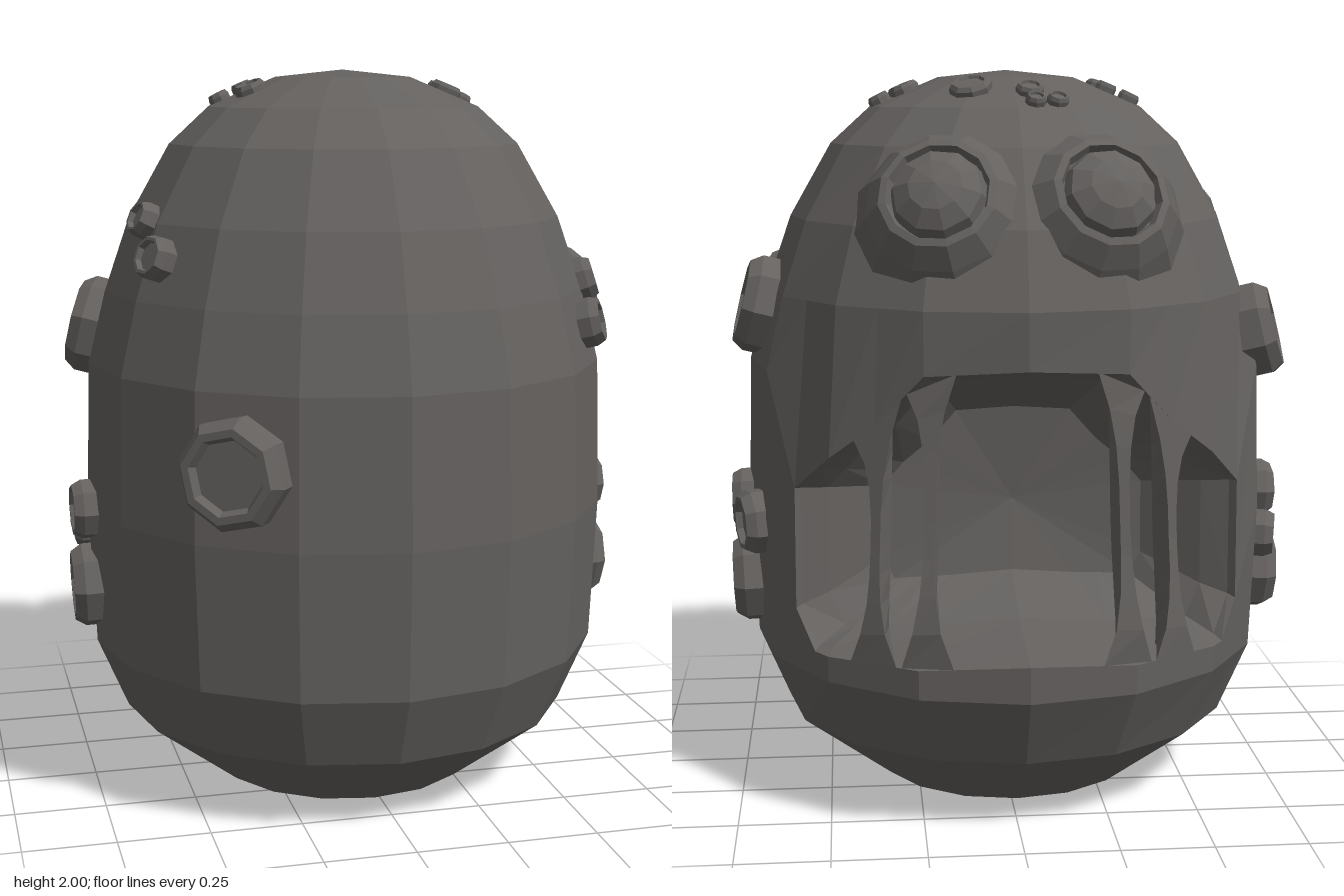
import * as THREE from 'three';

const DEG = Math.PI / 180, STEP = 22.5;
const PROFILE = [[0, 0.375], [0.2, 0.635], [0.4, 0.72], [0.8, 0.737], [1.2, 0.725], [1.4, 0.675],
  [1.6, 0.605], [1.8, 0.49], [1.9, 0.38], [1.98, 0.19], [2, 0]];
const BACK_SHIFT = [[0.2, 0], [0.4, 0.03], [0.55, 0.03], [0.8, -0.05], [1.2, -0.07], [1.38, 0.02], [1.6, 0.03], [1.8, 0]];
const LIP_TOP = [[0, 1.25], [22, 1.24], [34, 1.1], [57, 0.9], [67.5, 1.2]];
const LIP_BOTTOM = [[0, 0.5], [22, 0.48], [50, 0.47], [57, 0.57], [67.5, 0.8]];

// Linear lookup in a table of [key, value] pairs
function lookup(table, key) {
  if (key <= table[0][0]) return table[0][1];
  for (let i = 1; i < table.length; i++) {
    const [a, va] = table[i - 1], [b, vb] = table[i];
    if (key <= b) return va + (vb - va) * (key - a) / (b - a);
  }
  return table[table.length - 1][1];
}

const radius = (y) => lookup(PROFILE, y);
const lipTop = (t) => lookup(LIP_TOP, Math.abs(t));
const lipBottom = (t) => lookup(LIP_BOTTOM, Math.abs(t));

// Corner of the sixteen-sided body; the angle runs from the mouth side
function corner(k, y) {
  const t = k * STEP * DEG;
  const wrapped = Math.atan2(Math.sin(t), Math.cos(t));
  const f = Math.abs(wrapped) < Math.PI / 3 ? Math.cos(1.5 * wrapped) : 0;
  const r = radius(y) * (1 + f * lookup(BACK_SHIFT, y));
  return new THREE.Vector3(-Math.sin(t) * r, y, -Math.cos(t) * r);
}

// Any point on the faceted body wall
function surface(theta, y) {
  const k = Math.floor(theta / STEP);
  return corner(k, y).lerp(corner(k + 1, y), theta / STEP - k);
}

function meshFromQuads(name, quads, material) {
  const positions = [];
  for (const [a, b, c, d] of quads) for (const p of [a, b, c, a, c, d]) positions.push(p.x, p.y, p.z);
  const g = new THREE.BufferGeometry();
  g.setAttribute('position', new THREE.Float32BufferAttribute(positions, 3));
  g.computeVertexNormals();
  const mesh = new THREE.Mesh(g, material);
  mesh.name = name;
  return mesh;
}

const wallQuad = (a, b, a0, b0, a1, b1) => [surface(a, a0), surface(b, b0), surface(b, b1), surface(a, a1)];

export function createModel() {
  const model = new THREE.Group();
  model.name = 'barnacledCreature';
  const stone = new THREE.MeshStandardMaterial({ color: 0x64615f, flatShading: true });
  stone.name = 'dark stone';

  const creature = new THREE.Group();
  creature.name = 'creature';
  creature.position.x = -0.015;
  model.add(creature);

  // Faceted egg body, left open where the mouth panel goes
  const shell = [];
  const base = new THREE.Vector3();
  for (let k = -8; k < 8; k++) {
    shell.push([base, base, corner(k + 1, 0), corner(k, 0)]);
    for (let i = 0; i < PROFILE.length - 1; i++) {
      const y0 = PROFILE[i][0], y1 = PROFILE[i + 1][0];
      if (k >= -3 && k < 3 && y0 >= 0.4 && y1 <= 1.4) continue;
      shell.push([corner(k, y0), corner(k + 1, y0), corner(k + 1, y1), corner(k, y1)]);
    }
  }
  creature.add(meshFromQuads('body', shell, stone));

  // Lips around the mouth
  const angles = [-67.5, -57, -50, -45, -34, -22.5, 0, 22.5, 34, 45, 50, 57, 67.5];
  const lips = [];
  for (let i = 0; i < angles.length - 1; i++) {
    const a = angles[i], b = angles[i + 1];
    lips.push(wallQuad(a, b, 0.4, 0.4, lipBottom(a), lipBottom(b)));
    lips.push(wallQuad(a, b, lipTop(a), lipTop(b), 1.4, 1.4));
    if (Math.abs(a + b) > 114) lips.push(wallQuad(a, b, lipBottom(a), lipBottom(b), lipTop(a), lipTop(b)));
  }
  creature.add(meshFromQuads('lips', lips, stone));

  // Hollow mouth: the rim shrinks in rings towards the back wall
  const inner = angles.slice(1, -1);
  const rim = [...inner.map((t) => surface(t, lipBottom(t))),
    ...inner.slice().reverse().map((t) => surface(t, lipTop(t)))];
  const shrink = (sx, sy, zScale, z) => rim.map((p) =>
    new THREE.Vector3(p.x * sx, 0.82 + (p.y - 0.82) * sy, p.z * zScale + z));
  const rings = [rim, shrink(0.97, 0.97, 0.8, -0.06), shrink(0.85, 0.88, 0.25, -0.24),
    shrink(0.6, 0.62, 0, -0.23), shrink(0, 0, 0, -0.2)];
  const cavity = [];
  for (let r = 0; r < rings.length - 1; r++) {
    for (let i = 0; i < rim.length; i++) {
      const j = (i + 1) % rim.length;
      cavity.push([rings[r][i], rings[r][j], rings[r + 1][j], rings[r + 1][i]]);
    }
  }
  creature.add(meshFromQuads('mouthCavity', cavity, stone));

  // Sinewy strands across the mouth, flaring into both lips
  for (const center of [-33.5, -21, 21, 33.5]) {
    const sections = [];
    for (let i = 0; i <= 8; i++) {
      const t = i / 8, w = 1.1 + 4.5 * Math.abs(2 * t - 1) ** 3;
      const at = (theta) => surface(theta, THREE.MathUtils.lerp(lipBottom(theta), lipTop(theta), t));
      const back = at(center).multiply(new THREE.Vector3(0.89, 1, 0.89));
      sections.push([at(center - w), at(center + w), back]);
    }
    const quads = [];
    for (let i = 0; i < 8; i++) {
      for (let s = 0; s < 3; s++) {
        const n = (s + 1) % 3;
        quads.push([sections[i][s], sections[i][n], sections[i + 1][n], sections[i + 1][s]]);
      }
    }
    creature.add(meshFromQuads('mouthStrand', quads, stone));
  }

  // Lathed parts, turned so that their axis follows a normal
  const up = new THREE.Vector3(0, 1, 0);
  function addLathe(name, points, sides, position, normal) {
    const g = new THREE.LatheGeometry(points.map(([x, y]) => new THREE.Vector2(x, y)), sides);
    const mesh = new THREE.Mesh(g, stone);
    mesh.name = name;
    mesh.position.copy(position);
    mesh.quaternion.setFromUnitVectors(up, normal.normalize());
    creature.add(mesh);
  }

  // Bulging eyes in raised sockets
  for (const side of [-1, 1]) {
    const normal = new THREE.Vector3(side * 0.2, 0.5, -0.8);
    const position = new THREE.Vector3(side * 0.22, 1.69, -0.565);
    addLathe('eyeSocket', [[0.27, -0.16], [0.2, -0.05], [0.155, 0.005], [0.135, 0.01], [0.125, -0.015], [0, -0.015]],
      12, position, normal);
    addLathe('eyeball', [[0.128, -0.02], [0.115, 0.015], [0.07, 0.045], [0, 0.06]], 10, position, normal);
  }

  // Barnacles: eight-sided cups with a sunken top
  function addBarnacle(azimuth, y, r, height) {
    const slope = (radius(y + 0.03) - radius(y - 0.03)) / 0.06;
    const s = Math.sin(azimuth), c = Math.cos(azimuth);
    addLathe('barnacle', [[r, -0.6 * r], [r, height * 0.55], [r * 0.84, height], [r * 0.7, height],
      [r * 0.62, height * 0.7], [0, height * 0.7]], 8,
    new THREE.Vector3(s * radius(y) * 0.985, y, c * radius(y) * 0.985), new THREE.Vector3(s, -slope, c));
  }

  // Side barnacles: angle from the front, height, radius
  const sideBarnacles = [
    [94.5, 1.35, 0.138], [71.5, 1.415, 0.065], [62, 1.31, 0.07], [90, 0.79, 0.088], [106, 0.77, 0.092], [91, 0.56, 0.128],
    [-35.5, 1.0, 0.15], [-73, 1.6, 0.05], [-63, 1.51, 0.062], [-104, 1.28, 0.138],
    [-104, 0.7, 0.07], [-89, 0.79, 0.085], [-92, 0.56, 0.12],
  ];
  for (const [a, y, r] of sideBarnacles) addBarnacle(a * DEG, y, r, 0.035 + r * 0.27);

  // Crown barnacles: x, z, radius
  const byRadius = PROFILE.slice(4).reverse().map(([y, r]) => [r, y]);
  const crownBarnacles = [
    [-0.11, -0.335, 0.03], [-0.05, -0.35, 0.028], [-0.04, -0.285, 0.038], [0.115, -0.245, 0.058],
    [-0.345, -0.025, 0.03], [-0.28, -0.03, 0.029], [-0.275, 0.06, 0.043],
    [0.29, -0.03, 0.034], [0.355, -0.025, 0.031], [0.285, 0.06, 0.045],
  ];
  for (const [x, z, r] of crownBarnacles) addBarnacle(Math.atan2(x, z), lookup(byRadius, Math.hypot(x, z)), r, 0.024);

  return model;
}
